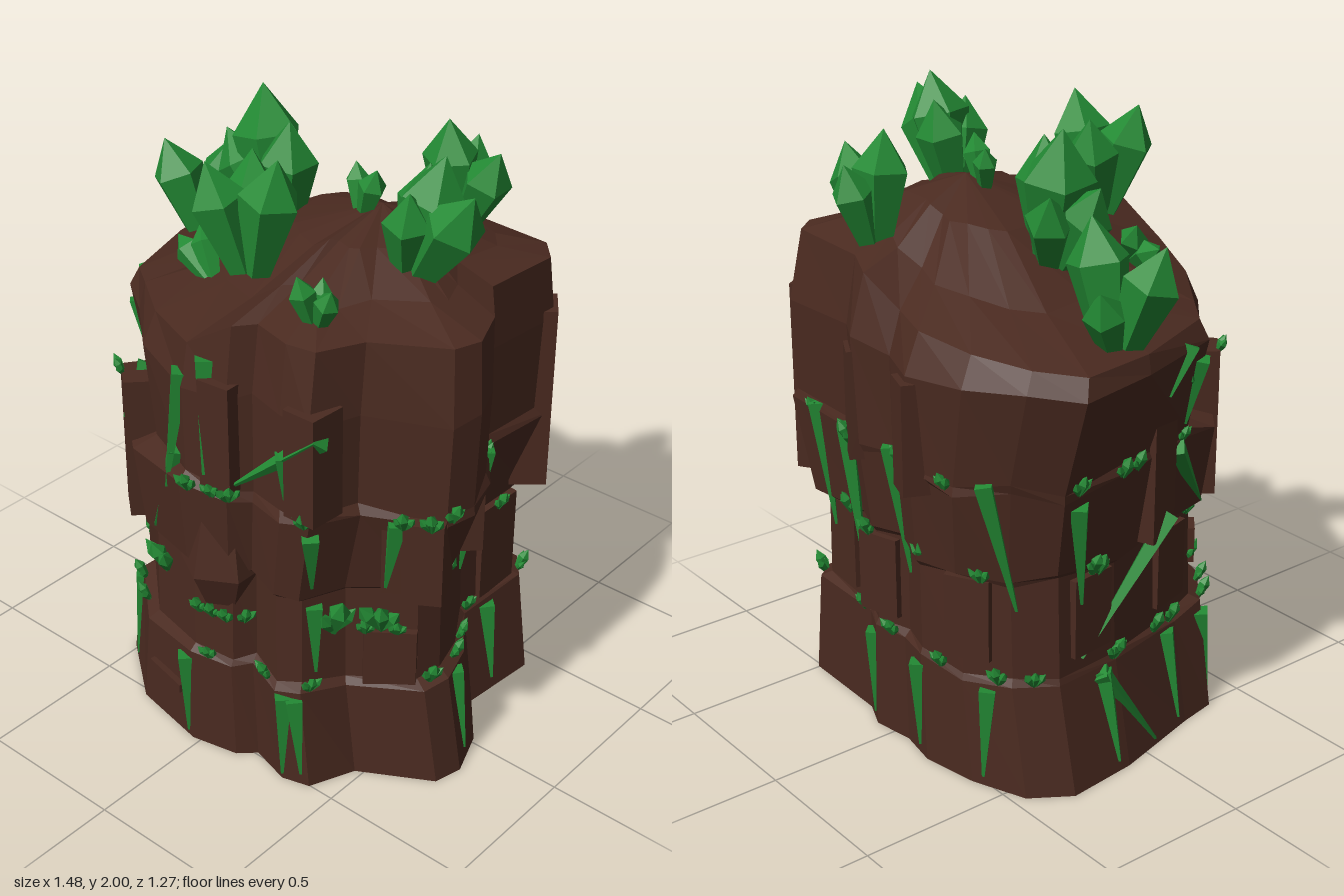
import * as THREE from 'three';

const rockMat = new THREE.MeshStandardMaterial({ color: 0x4a2a20, flatShading: true });
const gemMat = new THREE.MeshStandardMaterial({ color: 0x238a34, flatShading: true });
const UP = new THREE.Vector3(0, 1, 0);
const V = (x, y, z) => new THREE.Vector3(x, y, z);
const V2 = ([x, y]) => new THREE.Vector2(x, y);

let seed = 7;
const jit = (a) => ((seed = (seed * 16807) % 2147483647) / 2147483647 - 0.5) * 2 * a;

// Footprint, clockwise from above (x, z)
const OUTLINE = [
  [-0.73, -0.37], [-0.61, -0.49], [-0.43, -0.58], [-0.22, -0.62], [-0.07, -0.58], [0.08, -0.61], [0.18, -0.57],
  [0.52, -0.55], [0.59, -0.47], [0.57, -0.18], [0.69, -0.02], [0.75, 0.14], [0.72, 0.24],
  [0.5, 0.39], [0.43, 0.55], [0.33, 0.57], [0.19, 0.53], [0.14, 0.6], [-0.03, 0.62],
  [-0.33, 0.57], [-0.56, 0.38], [-0.59, 0.24], [-0.7, -0.1],
];

// Wall rows, in pairs that bound one layer: height, reach to -x, +x, -z, +z
const ROWS = [
  [0, 0.66, 0.72, 0.57, 0.57], [0.35, 0.58, 0.66, 0.57, 0.57],
  [0.37, 0.56, 0.63, 0.55, 0.54], [0.69, 0.55, 0.62, 0.55, 0.53],
  [0.71, 0.57, 0.64, 0.58, 0.56], [0.99, 0.62, 0.74, 0.61, 0.58],
  [1.02, 0.62, 0.72, 0.61, 0.57], [1.33, 0.72, 0.73, 0.62, 0.57],
];
const RIM = [1.5, 0.69, 0.72, 0.57, 0.53];
const rimY = (x) => (x > 0 ? Math.min(1.46 + x, 1.56) : 1.46 + x * 0.11);

// The upper front left corner is cut back
function fit([x, z], [y, l, r, b, f]) {
  const s = y > 1 && x < -0.3 && z > 0.35 ? 0.86 : 1;
  return [s * x * (x < 0 ? l / 0.73 : r / 0.75), s * z * (z < 0 ? b / 0.62 : f / 0.62)];
}

function buildRock() {
  const n = OUTLINE.length;
  const perLayer = (a) => [0, 1, 2, 3].map(() => OUTLINE.map(() => jit(a)));
  const shift = perLayer(0.022), ledge = perLayer(0.02);
  const rings = [OUTLINE.map(() => V(0, 0, 0))];
  ROWS.forEach((row, k) => rings.push(OUTLINE.map((p, i) => {
    const [x, z] = fit(p, row), s = 1 + shift[k >> 1][i];
    return V(x * s, row[0] + (k ? ledge[(k - 1) >> 1][i] : 0), z * s);
  })));
  // Rim, then the mound rising to its peak
  const rim = OUTLINE.map((p) => {
    const [x, z] = fit(p, RIM);
    return V(x, rimY(x), z);
  });
  rings.push(rim);
  const peak = V(0.18, 1.74, -0.1);
  for (const [t, h] of [[0.68, 0.26], [0.36, 0.72], [0, 1]]) {
    rings.push(rim.map((p) => {
      const q = p.clone().lerp(peak, 1 - t);
      q.y = p.y + (peak.y - p.y) * h + jit(0.02) * t;
      return q;
    }));
  }
  const index = [];
  for (let k = 0; k < rings.length - 1; k++) {
    for (let i = 0; i < n; i++) {
      const j = (i + 1) % n, a = k * n + i, b = k * n + j;
      index.push(a, a + n, b + n, a, b + n, b);
    }
  }
  const geo = new THREE.BufferGeometry().setFromPoints(rings.flat());
  geo.setIndex(index);
  geo.computeVertexNormals();
  const mesh = new THREE.Mesh(geo, rockMat);
  mesh.name = 'rockBody';
  return mesh;
}

// Crystal: narrow foot, wide shoulder, pointed tip
function crystal(base, tip, r, sides) {
  const len = base.distanceTo(tip);
  const profile = [[0, 0], [r * 0.5, 0], [r, len * 0.66], [0, len]].map(V2);
  const m = new THREE.Mesh(new THREE.LatheGeometry(profile, sides, jit(3)), gemMat);
  m.position.copy(base);
  m.quaternion.setFromUnitVectors(UP, tip.clone().sub(base).normalize());
  m.name = 'crystal';
  return m;
}

// Crown clusters: foot, then tips
const CLUSTERS = [
  [[-0.56, 1.38, -0.13], [-0.7, 1.71, -0.07], [-0.46, 1.76, -0.14], [-0.65, 1.6, -0.27]],
  [[-0.2, 1.54, -0.08], [-0.32, 1.98, -0.13], [-0.43, 1.82, -0.08], [-0.15, 1.92, -0.06], [-0.36, 1.8, -0.21]],
  [[-0.18, 1.48, 0.24], [-0.38, 1.57, 0.2], [-0.3, 1.63, 0.18]],
  [[-0.01, 1.6, 0.27], [-0.11, 1.94, 0.35], [0.09, 1.97, 0.26], [-0.1, 1.92, 0.16]],
  [[0.36, 1.61, 0.01], [0.47, 2, -0.02], [0.61, 1.93, 0.03], [0.37, 1.93, -0.08], [0.43, 1.91, 0.09]],
  [[0.21, 1.56, -0.42], [0.2, 1.92, -0.39], [0.38, 1.85, -0.41], [0.21, 1.83, -0.53]],
  [[0.12, 1.69, -0.07], [0.19, 1.86, -0.06], [0.07, 1.84, -0.11]],
  [[0.32, 1.57, 0.36], [0.29, 1.73, 0.41], [0.4, 1.71, 0.39], [0.31, 1.7, 0.32]],
];

// Slabs: side, top, bottom, width, positions along the side
const SLABS = [
  ['front', 1.38, 1.02, 0.13, [0.1, 0.4]], ['front', 1.2, 0.71, 0.14, [-0.36, -0.54]],
  ['front', 0.54, 0.18, 0.19, [0.53]], ['front', 0.2, 0.17, 0.2, [-0.15]],
  ['front', 0.62, 0.5, 0.1, [-0.39]], ['front', 0.99, 0.72, 0.2, [0.6]],
  ['right', 1, 0.72, 0.18, [0.2, -0.1]], ['right', 1.38, 0.75, 0.14, [-0.48]],
  ['right', 0.7, 0.36, 0.2, [-0.33]], ['back', 1.3, 0.95, 0.12, [0.12, -0.2]],
  ['back', 0.69, 0.42, 0.17, [0.3, 0.05, -0.35]], ['left', 0.68, 0.42, 0.18, [-0.2, 0.2]],
];

// Green veins: side, top, bottom, lean, positions of the top
const VEINS = [
  ['front', 0.35, 0.02, 0, [-0.58, -0.46, -0.05, 0.32]], ['front', 1, 0.72, 0.08, [-0.52]],
  ['front', 0.8, 0.4, 0, [-0.55]], ['front', 1, 0.74, -0.03, [0.58]],
  ['front', 1.38, 0.95, -0.05, [-0.05]], ['front', 1.1, 0.74, -0.12, [-0.08]],
  ['front', 1.45, 1.06, 0.02, [0.04]], ['front', 1.23, 1.06, 0, [-0.35, 0.33]],
  ['front', 1.37, 1.2, 0.01, [-0.61]],
  ['right', 1.33, 1.05, 0.04, [0.5]], ['right', 0.98, 0.74, -0.04, [0.5]], ['right', 1.05, 0.56, 0.02, [-0.13, -0.58]],
  ['right', 0.67, 0.4, 0, [0.43]], ['right', 0.35, 0.04, 0, [0.51, 0.07, -0.27]],
  ['back', 1.05, 0.6, -0.03, [0.38, -0.05, -0.45]], ['back', 0.35, 0.03, 0, [0.1, -0.15, -0.42]],
  ['left', 0.97, 0.6, 0.05, [-0.3]], ['left', 1.3, 1.05, 0, [0.2]], ['left', 0.35, 0.03, 0.02, [-0.15, 0.17]],
];

// Tufts of small crystals: side, height, size, positions along the side
const TUFTS = [
  ['front', 1, 0.085, [-0.62, 0, 0.08, 0.14, 0.4, 0.62, 0.69]], ['front', 0.69, 0.085, [-0.56, -0.42, 0.65]],
  ['front', 0.52, 0.085, [-0.41, -0.01, 0.04, 0.09, 0.14]],
  ['front', 0.37, 0.085, [-0.57, -0.5, -0.42, -0.33, 0.04, 0.24, 0.64]],
  ['front', 0.55, 0.085, [0.48, 0.56]], ['front', 1.2, 0.085, [-0.55, -0.39]], ['front', 0.57, 0.16, [0.52, -0.2]],
  ['right', 1, 0.085, [0.55, 0.28, 0.2, -0.14, -0.6]], ['right', 0.69, 0.085, [0.07, -0.33, -0.48]],
  ['right', 0.37, 0.085, [0.47, 0.04, -0.05, -0.18, -0.47]], ['right', 0.55, 0.16, [0.37]],
  ['back', 1, 0.085, [0.4, 0.15, -0.1, -0.33]], ['back', 0.7, 0.085, [0.45, 0.25, 0.08, -0.18, -0.4]],
  ['back', 0.37, 0.085, [0.5, 0.2, 0, -0.25, -0.45]],
  ['left', 1, 0.085, [-0.3, -0.05, 0.2]], ['left', 0.7, 0.085, [-0.2, 0.08, 0.3]], ['left', 0.37, 0.085, [-0.4, -0.1, 0.2]],
];

export function createModel() {
  seed = 7;
  const root = new THREE.Group();
  const rock = buildRock();
  root.add(rock);
  const solid = [rock];

  // Point and level outward direction on the wall, seen from one side
  const caster = new THREE.Raycaster();
  const DIR = { front: V(0, 0, 1), back: V(0, 0, -1), right: V(1, 0, 0), left: V(-1, 0, 0) };
  function onWall(side, u, y) {
    const d = DIR[side];
    const from = d.z ? V(u, y, d.z * 3) : V(d.x * 3, y, u);
    caster.set(from, d.clone().negate());
    const hit = caster.intersectObjects(solid, false)[0];
    if (!hit) return onWall(side, u * 0.96, y);
    const out = hit.face.normal.clone().transformDirection(hit.object.matrixWorld).setY(0);
    return { p: hit.point, out: out.lengthSq() > 0.01 ? out.normalize() : d.clone() };
  }

  function addSolid(geo, name, p, out) {
    const mesh = new THREE.Mesh(geo, rockMat);
    mesh.name = name;
    mesh.position.copy(p);
    mesh.rotation.y = Math.atan2(out.x, out.z);
    mesh.updateMatrixWorld();
    root.add(mesh);
    solid.push(mesh);
  }

  // Wall slabs, narrower on the outer face
  for (const [side, top, bottom, w, us] of SLABS) {
    for (const u of us) {
      const { p, out } = onWall(side, u, (top + bottom) / 2);
      const geo = new THREE.BoxGeometry(w, top - bottom, 0.12);
      const a = geo.attributes.position;
      for (let i = 0; i < a.count; i++) if (a.getZ(i) > 0) a.setX(i, a.getX(i) * 0.86);
      addSolid(geo, 'wallSlab', p.addScaledVector(out, -0.04), out);
    }
  }

  // Boulder bulging from the front
  const profile = [[0, -0.2], [0.09, -0.2], [0.14, -0.08], [0.08, 0.19], [0, 0.19]].map(V2);
  const bulge = onWall('front', 0.04, 0.77).p.add(V(0, 0, -0.09));
  addSolid(new THREE.LatheGeometry(profile, 6), 'frontBoulder', bulge, DIR.front);

  // Crown clusters
  for (const [foot, ...tips] of CLUSTERS) {
    const g = new THREE.Group();
    g.name = 'crystalCluster';
    for (const t of tips) {
      const tip = V(...t), base = V(...foot).lerp(tip, 0.2).setY(foot[1]);
      g.add(crystal(base, tip, base.distanceTo(tip) * 0.25, 5));
    }
    root.add(g);
  }

  // Veins narrowing downward
  for (const [side, top, bottom, lean, us] of VEINS) {
    for (const u of us) {
      const a = onWall(side, u, top - 0.02).p, b = onWall(side, u + lean, bottom).p;
      const m = new THREE.Mesh(new THREE.CylinderGeometry(0.036, 0.006, a.distanceTo(b), 4), gemMat);
      m.name = 'crystalVein';
      m.position.copy(a).add(b).multiplyScalar(0.5);
      m.quaternion.setFromUnitVectors(UP, a.sub(b).normalize());
      root.add(m);
    }
  }

  // Tufts on the ledges, three crystals fanned outward
  for (const [side, y, size, us] of TUFTS) {
    for (const u of us) {
      const { p, out } = onWall(side, u, y - 0.03);
      const along = V(out.z, 0, -out.x), g = new THREE.Group();
      g.name = 'crystalTuft';
      p.setY(y - 0.02).addScaledVector(out, -0.01);
      for (const s of [-1, 0, 1]) {
        const len = size * (s ? 0.75 : 1) * (1 + jit(0.15));
        const tip = p.clone().addScaledVector(along, s * len * 0.5).addScaledVector(out, len * 0.4);
        tip.y += len * 0.85;
        g.add(crystal(p, tip, len * 0.2, 5));
      }
      root.add(g);
    }
  }
  return root;
}
